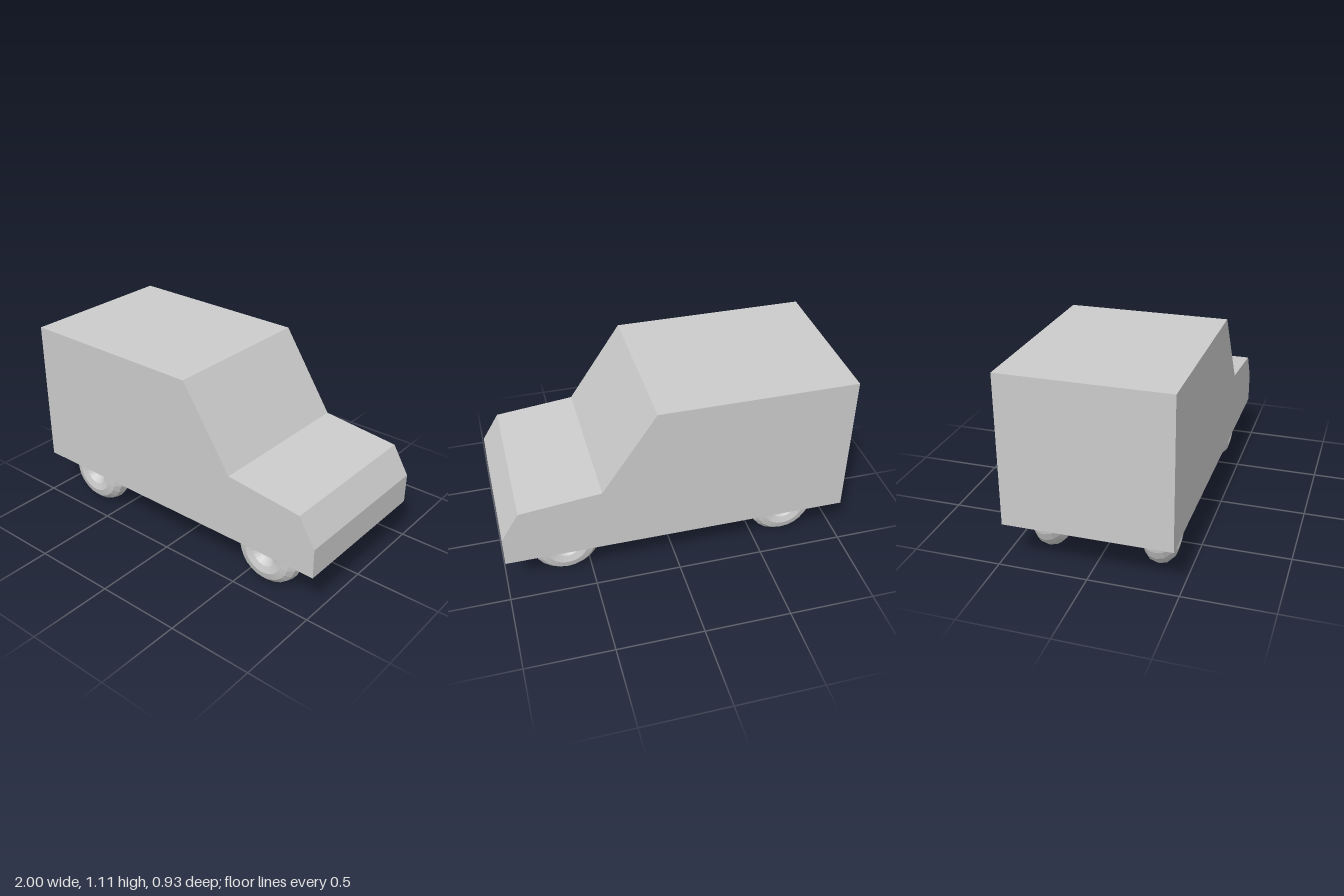
import * as THREE from 'three';

export function createModel() {
  const model = new THREE.Group();
  model.name = 'van';
  const material = new THREE.MeshStandardMaterial({ color: 0xcccccc, flatShading: true });

  // Body: side profile with sloped windscreen, bonnet and nose, extruded across the width
  const width = 0.934;
  const profile = [
    [-1, 0.257], [1, 0.257], [1, 0.435], [0.9, 0.6],
    [0.438, 0.65], [0.128, 1.115], [-1, 1.115],
  ].map(([x, y]) => new THREE.Vector2(x, y));
  const bodyGeometry = new THREE.ExtrudeGeometry(new THREE.Shape(profile), {
    depth: width, bevelEnabled: false,
  });
  bodyGeometry.translate(0, 0, -width / 2);
  const body = new THREE.Mesh(bodyGeometry, material);
  body.name = 'body';
  model.add(body);

  // Wheels: faceted rings, partly sunk into the floor
  const wheelGeometry = new THREE.TorusGeometry(0.12, 0.083, 12, 24);
  for (const [end, x] of [['rear', -0.68], ['front', 0.64]]) {
    for (const [side, z] of [['Near', 0.333], ['Far', -0.29]]) {
      const wheel = new THREE.Mesh(wheelGeometry, material);
      wheel.name = `${end}Wheel${side}`;
      wheel.position.set(x, 0.206, z);
      model.add(wheel);
    }
  }
  return model;
}
